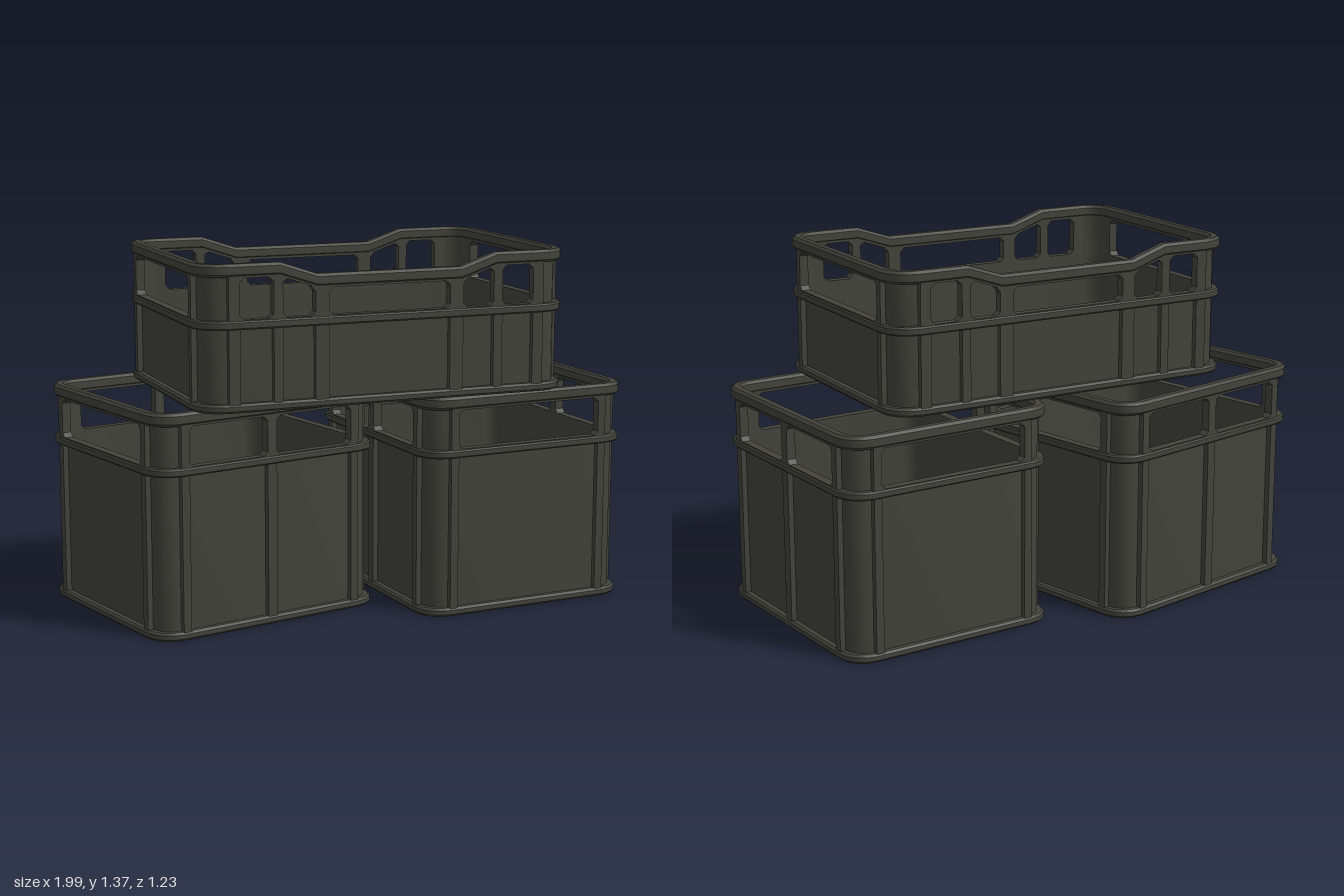
import * as THREE from 'three';
import { toCreasedNormals } from 'three/addons/utils/BufferGeometryUtils.js';

const plastic = new THREE.MeshStandardMaterial({ color: 0x43433c });
plastic.name = 'dark olive plastic';

const SEG = 4; // facets per rounded corner
const FACE = 0.005, PANEL = 0.026, INNER = 0.04; // insets from the outer outline

function addMesh(parent, name, geometry) {
  const mesh = new THREE.Mesh(geometry, plastic);
  mesh.name = name;
  parent.add(mesh);
  return mesh;
}

// Points of one rounded corner, q = 0..3 running from +x towards +z
function cornerPoints(c, q, inset) {
  const sx = q === 0 || q === 3 ? 1 : -1, sz = q < 2 ? 1 : -1;
  const pts = [];
  for (let i = 0; i <= SEG; i++) {
    const a = (q + i / SEG) * Math.PI / 2;
    pts.push([sx * (c.w / 2 - c.r) + Math.cos(a) * (c.r - inset),
      sz * (c.d / 2 - c.r) + Math.sin(a) * (c.r - inset)]);
  }
  return pts;
}

// Whole outline, with extra points where the rim dips on the long sides
function outline(c, inset) {
  const pts = [];
  for (let q = 0; q < 4; q++) {
    pts.push(...cornerPoints(c, q, inset));
    const s = q === 0 ? 1 : -1;
    if (c.dip && q % 2 === 0) {
      for (const x of [0.42, 0.28, -0.28, -0.42]) pts.push([s * x, s * (c.d / 2 - inset)]);
    }
  }
  return pts;
}

// Carries a closed profile of [inset, y] along a path
function sweep(path, profile, closed, lift = () => 0) {
  const rows = profile.map(([inset, y]) => path(inset).map(([x, z]) => [x, y + lift(x), z]));
  const n = rows[0].length, m = rows.length, pos = [];
  for (let i = 0; i < (closed ? n : n - 1); i++) {
    for (let j = 0; j < m; j++) {
      const k = (i + 1) % n, l = (j + 1) % m;
      const a = rows[j][i], b = rows[l][i], e = rows[l][k], f = rows[j][k];
      pos.push(...a, ...b, ...e, ...a, ...e, ...f);
    }
  }
  const g = new THREE.BufferGeometry();
  g.setAttribute('position', new THREE.Float32BufferAttribute(pos, 3));
  return toCreasedNormals(g, 0.5);
}

// Bevelled band profile
function band(y0, y1, outer, inner, b) {
  return [[outer + b, y0], [outer, y0 + b], [outer, y1 - b], [outer + b, y1],
    [inner - b, y1], [inner, y1 - b], [inner, y0 + b], [inner - b, y0]];
}

// Upper side frame with chamfered windows
function windowFrame(c, half, windows, lift) {
  const y0 = c.belt[1], top = x => c.rim + lift(x), k = 0.016;
  const shape = new THREE.Shape();
  shape.moveTo(-half, y0 - 0.01);
  shape.lineTo(half, y0 - 0.01);
  const xs = lift(0) ? [half, 0.42, 0.28, -0.28, -0.42, -half] : [half, -half];
  xs.forEach(x => shape.lineTo(x, top(x) + 0.01));
  for (const [a, b] of windows) {
    const t = x => top(x) - 0.003, y = y0 + 0.003;
    shape.holes.push(new THREE.Path([
      [a + k, y], [a, y + k], [a, t(a) - k], [a + k, t(a + k)],
      [b - k, t(b - k)], [b, t(b) - k], [b, y + k], [b - k, y],
    ].map(p => new THREE.Vector2(...p))));
  }
  return new THREE.ExtrudeGeometry(shape, { depth: INNER - FACE, bevelEnabled: false });
}

function addSide(crate, c, name, half, reach, angle, windows, lift) {
  const side = new THREE.Group();
  side.name = name;
  side.rotation.y = angle;
  addMesh(side, 'windowFrame', windowFrame(c, half, windows, lift)).position.z = reach - INNER;

  // Ribs run down between the windows
  const stops = [-half, ...windows.flat(), half];
  const low = 0.02, high = c.belt[0] + 0.01;
  for (let i = 0; i < stops.length; i += 2) {
    const rib = addMesh(side, 'rib',
      new THREE.BoxGeometry(stops[i + 1] - stops[i], high - low, PANEL - FACE + 0.004));
    rib.position.set((stops[i] + stops[i + 1]) / 2, (low + high) / 2,
      reach - (FACE + PANEL + 0.004) / 2);
  }
  crate.add(side);
}

function makeCrate(name, c) {
  const crate = new THREE.Group();
  crate.name = name;
  const flat = () => 0;
  const lift = c.dip
    ? x => -c.dip * THREE.MathUtils.clamp((0.42 - Math.abs(x)) / 0.14, 0, 1)
    : flat;
  const loop = inset => outline(c, inset);

  // Floor slab
  const floorShape = new THREE.Shape(loop(0.012).map(([x, z]) => new THREE.Vector2(x, -z)).reverse());
  const floor = new THREE.ExtrudeGeometry(floorShape, { depth: 0.025, bevelEnabled: false });
  floor.rotateX(-Math.PI / 2);
  addMesh(crate, 'floor', floor);

  // Walls and the three surrounding bands
  const wall = [[PANEL, 0.015], [PANEL, c.belt[1] - 0.005], [INNER, c.belt[1] - 0.005], [INNER, 0.015]];
  addMesh(crate, 'wall', sweep(loop, wall, true));
  addMesh(crate, 'baseLip', sweep(loop, band(0, 0.032, 0, INNER, 0.008), true));
  addMesh(crate, 'belt', sweep(loop, band(c.belt[0], c.belt[1], 0, INNER, 0.006), true));
  addMesh(crate, 'rim', sweep(loop, band(c.rim, c.height, 0, INNER + 0.003, 0.01), true, lift));

  // Corner posts between belt and rim
  const post = [[PANEL, c.belt[1] - 0.01], [PANEL, c.rim + 0.01],
    [INNER, c.rim + 0.01], [INNER, c.belt[1] - 0.01]];
  for (let q = 0; q < 4; q++) {
    addMesh(crate, 'cornerPost', sweep(inset => cornerPoints(c, q, inset), post, false));
  }

  // Sides: two long, two short
  for (const k of [0, 1]) {
    addSide(crate, c, 'longSide', c.w / 2 - c.r, c.d / 2, k * Math.PI, c.longWindows, lift);
    addSide(crate, c, 'shortSide', c.d / 2 - c.r, c.w / 2, (k + 0.5) * Math.PI, c.shortWindows, flat);
  }
  return crate;
}

export function createModel() {
  const model = new THREE.Group();
  model.name = 'stackedCrates';

  const deep = {
    w: 0.966, d: 0.868, r: 0.1, height: 0.836, belt: [0.605, 0.635], rim: 0.788, dip: 0,
    longWindows: [[-0.35, -0.02], [0.02, 0.35]],
    shortWindows: [[-0.302, 0.302]],
  };
  const shallow = {
    w: 1.444, d: 0.926, r: 0.11, height: 0.527, belt: [0.295, 0.327], rim: 0.48, dip: 0.047,
    longWindows: [[-0.57, -0.445], [-0.41, -0.288], [-0.235, 0.235], [0.288, 0.41], [0.445, 0.57]],
    shortWindows: [[-0.323, 0.323]],
  };

  const place = (crate, x, y, z, degrees) => {
    crate.position.set(x, y, z);
    crate.rotation.y = THREE.MathUtils.degToRad(degrees);
    model.add(crate);
  };
  place(makeCrate('rightLowerCrate', deep), -0.487, 0, -0.152, 4.9);
  place(makeCrate('leftLowerCrate', deep), 0.533, 0, 0.074, 85.9);
  place(makeCrate('upperCrate', shallow), -0.035, 0.843, 0.07, -8);
  return model;
}
